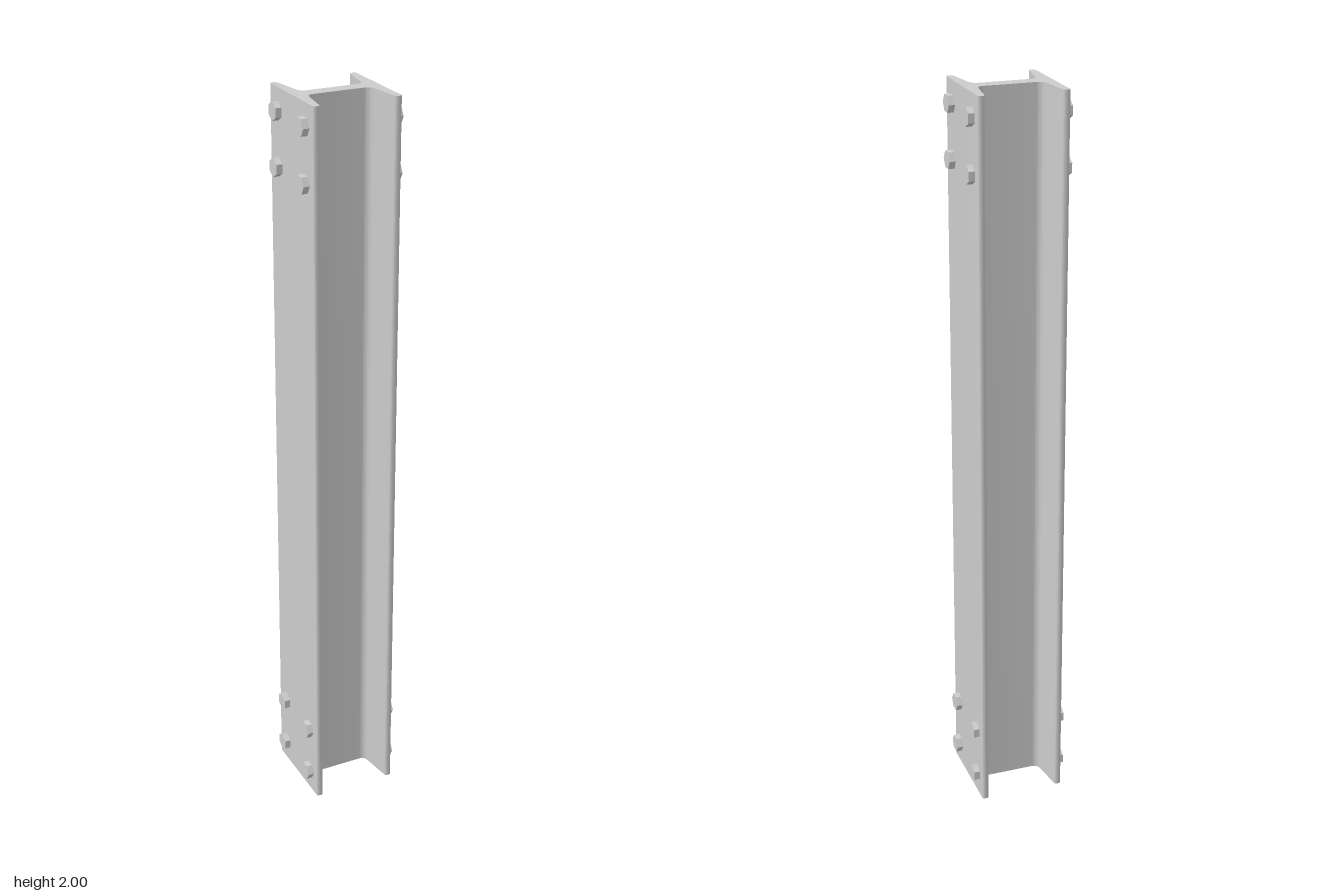
import * as THREE from 'three';
import { toCreasedNormals } from 'three/addons/utils/BufferGeometryUtils.js';

const HEIGHT = 2;
const FLANGE_X = 0.118;   // outer face of each flange
const FLANGE_Z = 0.126;   // half width of each flange
const WEB_Z = 0.0195;     // half thickness of the web

const steel = new THREE.MeshStandardMaterial({ color: 0xcccccc });

// One quarter of the section, from the outer face round to the web
function quarterOutline() {
  const p = new THREE.Path();
  p.moveTo(FLANGE_X, FLANGE_Z - 0.006);
  p.quadraticCurveTo(FLANGE_X, FLANGE_Z, FLANGE_X - 0.006, FLANGE_Z);
  p.lineTo(0.107, FLANGE_Z);
  p.quadraticCurveTo(0.1005, FLANGE_Z, 0.0995, FLANGE_Z - 0.008);
  p.lineTo(0.0885, 0.041);                                   // tapered inner face
  p.bezierCurveTo(0.0865, 0.028, 0.081, WEB_Z, 0.068, WEB_Z); // root fillet
  return p.getPoints(8);
}

// Tapered-flange H section, extruded upwards
function beam() {
  const q = quarterOutline();
  const mirror = (sx, sy) => q.map((v) => new THREE.Vector2(v.x * sx, v.y * sy));
  const outline = [
    ...q,
    ...mirror(-1, 1).reverse(),
    ...mirror(-1, -1),
    ...mirror(1, -1).reverse(),
  ];
  const raw = new THREE.ExtrudeGeometry(new THREE.Shape(outline), {
    depth: HEIGHT, bevelEnabled: false,
  });
  raw.rotateX(-Math.PI / 2);
  const mesh = new THREE.Mesh(toCreasedNormals(raw, 0.6), steel);
  mesh.name = 'beam';
  return mesh;
}

export function createModel() {
  const model = new THREE.Group();
  model.name = 'boltedBeam';
  model.add(beam());

  // Hexagonal bolt heads on the outside of both flanges
  const head = toCreasedNormals(
    new THREE.CylinderGeometry(0.0245, 0.0245, 0.018, 6).rotateZ(-Math.PI / 2), 0.3);
  const bolts = new THREE.Group();
  bolts.name = 'bolts';
  for (const side of [-1, 1]) {
    for (const y of [0.063, 0.205, 1.8, 1.942]) {
      for (const row of [-1, 1]) {
        const bolt = new THREE.Mesh(head, steel);
        bolt.name = 'boltHead';
        bolt.position.set(side * (FLANGE_X + 0.0075), y, row * 0.078);
        // front row has a corner facing forward, back row a flat
        bolt.rotation.x = row > 0 ? 0 : Math.PI / 6;
        bolts.add(bolt);
      }
    }
  }
  model.add(bolts);
  return model;
}
